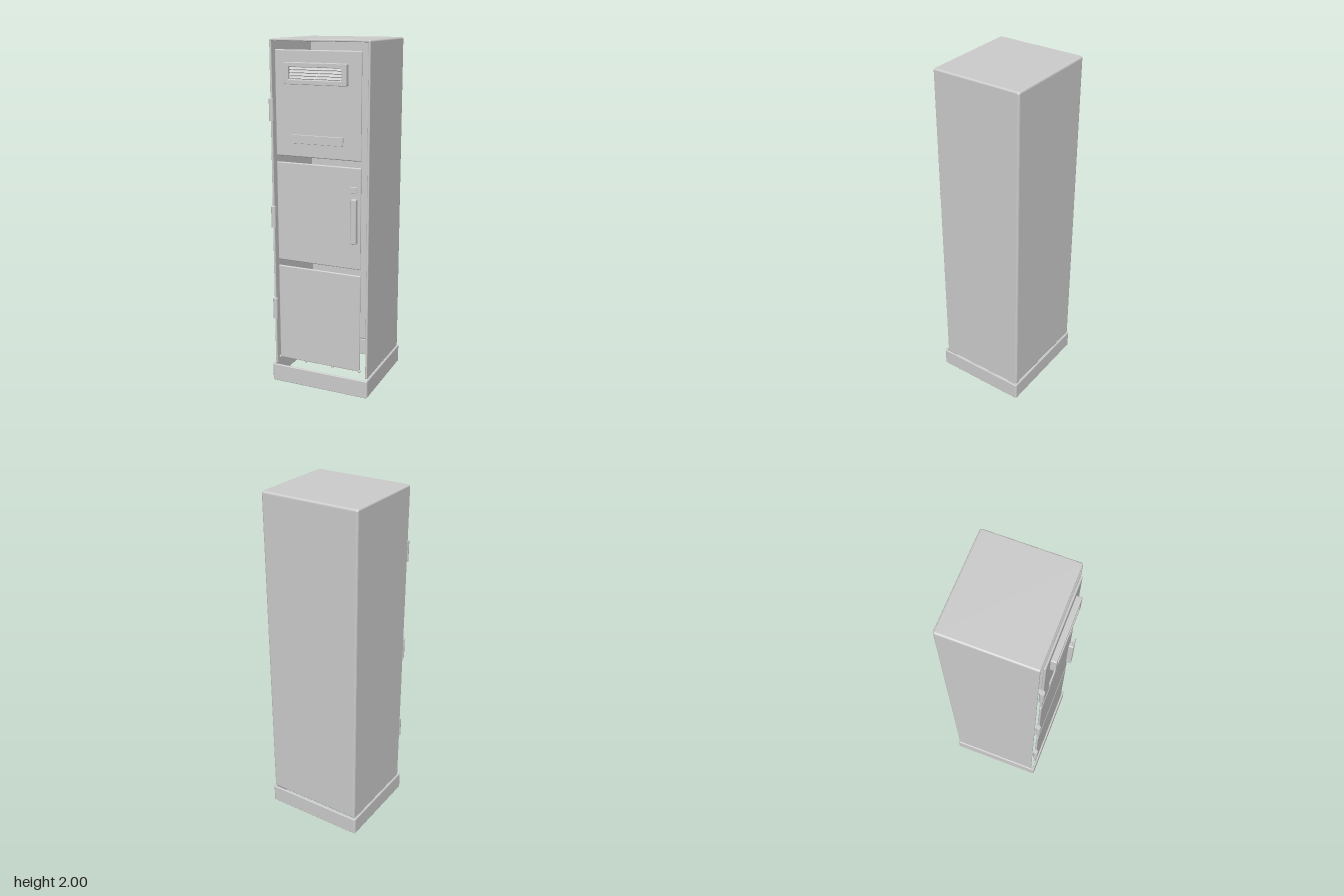
import * as THREE from 'three';
import { RoundedBoxGeometry } from 'three/addons/geometries/RoundedBoxGeometry.js';

const paint = new THREE.MeshStandardMaterial({ color: 0xcccccc });
paint.name = 'grey painted metal';

// Rectangle outline with rounded corners, used for shapes and holes
function roundRect(target, x0, y0, x1, y1, r) {
  target.moveTo(x0 + r, y0);
  target.lineTo(x1 - r, y0);
  target.absarc(x1 - r, y0 + r, r, -Math.PI / 2, 0);
  target.lineTo(x1, y1 - r);
  target.absarc(x1 - r, y1 - r, r, 0, Math.PI / 2);
  target.lineTo(x0 + r, y1);
  target.absarc(x0 + r, y1 - r, r, Math.PI / 2, Math.PI);
  target.lineTo(x0, y0 + r);
  target.absarc(x0 + r, y0 + r, r, Math.PI, Math.PI * 1.5);
  return target;
}

// Extrusion whose outline stays at full size between its bevels; spans z0..z1
function bevelled(shape, z0, z1, bevel) {
  const geometry = new THREE.ExtrudeGeometry(shape, {
    depth: z1 - z0 - 2 * bevel, bevelEnabled: true, bevelThickness: bevel,
    bevelSize: bevel, bevelOffset: -bevel, bevelSegments: 4, curveSegments: 5,
  });
  return geometry.translate(0, 0, z0 + bevel);
}

function box(x0, x1, y0, y1, z0, z1, r) {
  return new RoundedBoxGeometry(x1 - x0, y1 - y0, z1 - z0, 3, r)
    .translate((x0 + x1) / 2, (y0 + y1) / 2, (z0 + z1) / 2);
}

export function createModel() {
  const model = new THREE.Group();
  model.name = 'locker';
  const add = (name, geometry) => {
    const mesh = new THREE.Mesh(geometry, paint);
    mesh.name = name;
    model.add(mesh);
    return mesh;
  };

  // Cabinet: side walls and roof as one arch, open at the front and bottom
  const W = 0.293, T = 0.012, BOTTOM = 0.11, TOP = 2;
  const arch = new THREE.Shape();
  arch.moveTo(-W, BOTTOM);
  arch.lineTo(-W + T, BOTTOM);
  arch.lineTo(-W + T, TOP - T);
  arch.lineTo(W - T, TOP - T);
  arch.lineTo(W - T, BOTTOM);
  arch.lineTo(W, BOTTOM);
  arch.lineTo(W, TOP - 0.01);
  arch.absarc(W - 0.01, TOP - 0.01, 0.01, 0, Math.PI / 2);
  arch.lineTo(-W + 0.01, TOP);
  arch.absarc(-W + 0.01, TOP - 0.01, 0.01, Math.PI / 2, Math.PI);
  add('cabinetWalls', bevelled(arch, -0.276, 0.24, 0.004));

  const back = roundRect(new THREE.Shape(), -W, BOTTOM, W, TOP, 0.014);
  add('backPanel', bevelled(back, -0.284, -0.26, 0.0119));

  // Base: hollow plinth ring
  const ring = roundRect(new THREE.Shape(), -0.302, -0.264, 0.302, 0.289, 0.012);
  ring.holes.push(roundRect(new THREE.Path(), -0.289, -0.251, 0.289, 0.276, 0.004));
  add('basePlinth', bevelled(ring, 0, 0.105, 0.005).rotateX(-Math.PI / 2));

  // Three stacked doors, each with a hinge barrel
  const doors = [
    ['lower', 0.155, 0.73, 0.46],
    ['middle', 0.765, 1.335, 1.013],
    ['upper', 1.37, 1.945, 1.62],
  ];
  for (const [name, y0, y1, hingeY] of doors) {
    add(name + 'Door', box(-0.252, 0.252, y0, y1, 0.243, 0.256, 0.006));
    add(name + 'Hinge', new THREE.CylinderGeometry(0.014, 0.014, 0.12, 24)
      .translate(-0.277, hingeY, 0.257));
  }

  // Vent: raised frame with slats
  const frame = roundRect(new THREE.Shape(), -0.182, 1.765, 0.18, 1.88, 0.006);
  frame.holes.push(roundRect(new THREE.Path(), -0.157, 1.79, 0.152, 1.856, 0.003));
  add('ventFrame', bevelled(frame, 0.254, 0.286, 0.003));
  for (let i = 0; i < 4; i++) {
    const slat = add('ventSlat', new THREE.BoxGeometry(0.31, 0.012, 0.006));
    slat.position.set(-0.002, 1.799 + i * 0.016, 0.268);
    slat.rotation.x = -0.5;
  }

  // Name plate on the upper door
  add('labelPlate', box(-0.155, 0.15, 1.445, 1.493, 0.254, 0.264, 0.002));

  // Handle and lock on the middle door
  add('handle', box(0.205, 0.236, 0.915, 1.168, 0.254, 0.286, 0.006));
  add('lock', box(0.202, 0.241, 1.2, 1.237, 0.277, 0.287, 0.003));

  // Small studs along the bottom of the lower door
  for (const x of [-0.253, -0.085, 0.083, 0.251]) {
    add('doorStud', new THREE.SphereGeometry(0.008, 12, 8).translate(x, 0.155, 0.25));
  }
  return model;
}
